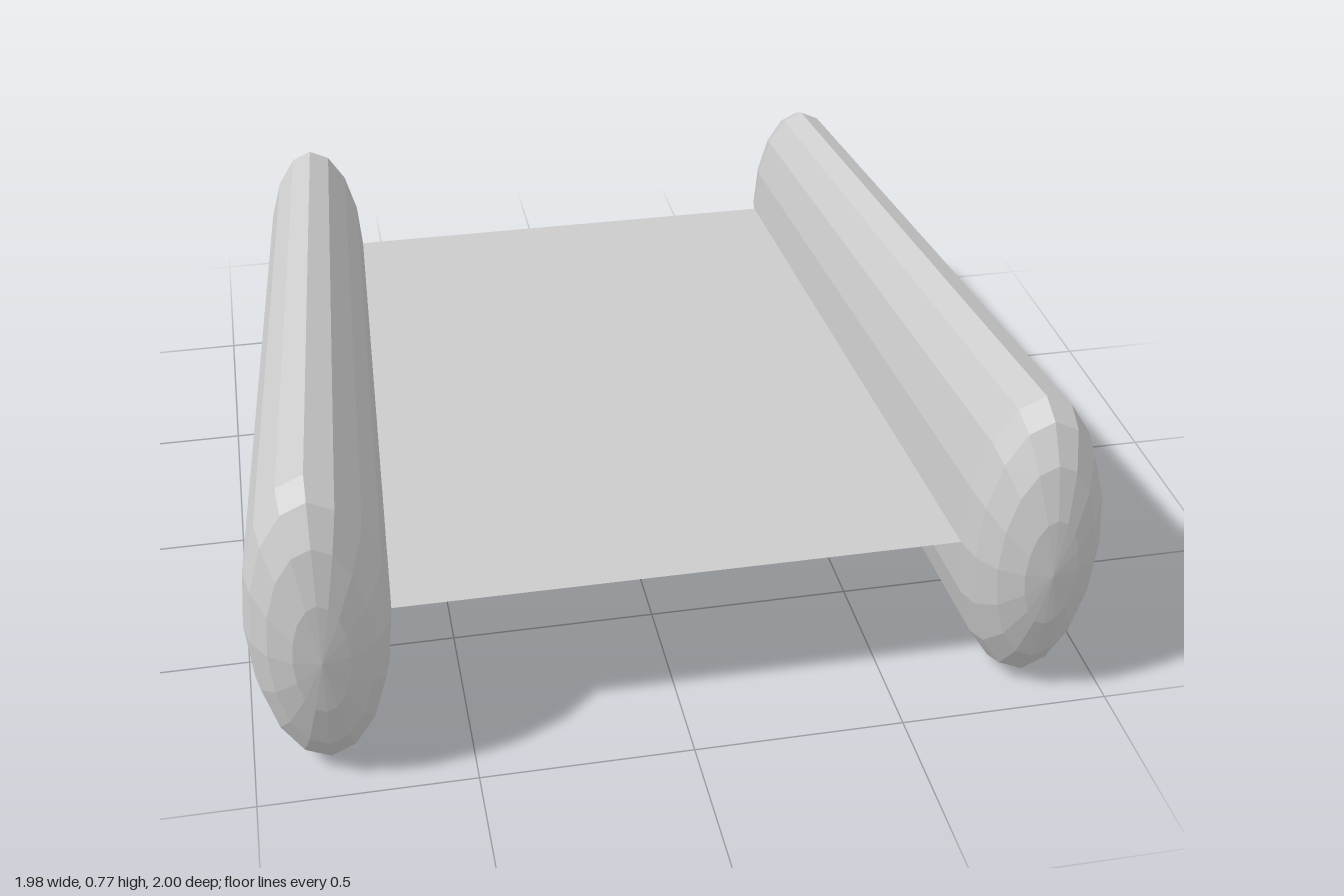
import * as THREE from 'three';

const MID_Y = 0.39;
// Ends of each side pod: centre (x, z), half width, half height
const FRONT = { x: 0.825, z: 0.835, rx: 0.163, ry: 0.385 };
const BACK = { x: 0.72, z: -0.87, rx: 0.13, ry: 0.307 };

// Tapered elliptical capsule running from back to front
function podGeometry(side) {
  const geo = new THREE.CapsuleGeometry(1, 2, 4, 16, 1).rotateX(Math.PI / 2);
  const p = geo.attributes.position;
  for (let i = 0; i < p.count; i++) {
    const s = Math.sign(p.getZ(i));
    const end = s > 0 ? FRONT : BACK;
    p.setXYZ(
      i,
      side * end.x + p.getX(i) * end.rx,
      MID_Y + p.getY(i) * end.ry,
      end.z + (p.getZ(i) - s) * end.rx
    );
  }
  const flat = geo.toNonIndexed();
  flat.computeVertexNormals();
  return flat;
}

// Thin trapezoid sheet spanning the inner sides of the pods
function panelGeometry() {
  const xf = FRONT.x - FRONT.rx + 0.004;
  const xb = BACK.x - BACK.rx + 0.004;
  const shape = new THREE.Shape([
    new THREE.Vector2(-xf, -FRONT.z),
    new THREE.Vector2(xf, -FRONT.z),
    new THREE.Vector2(xb, -BACK.z),
    new THREE.Vector2(-xb, -BACK.z),
  ]);
  return new THREE.ShapeGeometry(shape).rotateX(-Math.PI / 2).translate(0, MID_Y, 0);
}

export function createModel() {
  const group = new THREE.Group();
  const podMaterial = new THREE.MeshStandardMaterial({ color: 0xcccccc, flatShading: true });
  const panelMaterial = new THREE.MeshStandardMaterial({ color: 0xcccccc, side: THREE.DoubleSide });

  for (const [name, side] of [['leftPod', 1], ['rightPod', -1]]) {
    const pod = new THREE.Mesh(podGeometry(side), podMaterial);
    pod.name = name;
    group.add(pod);
  }

  const panel = new THREE.Mesh(panelGeometry(), panelMaterial);
  panel.name = 'centrePanel';
  group.add(panel);

  return group;
}
